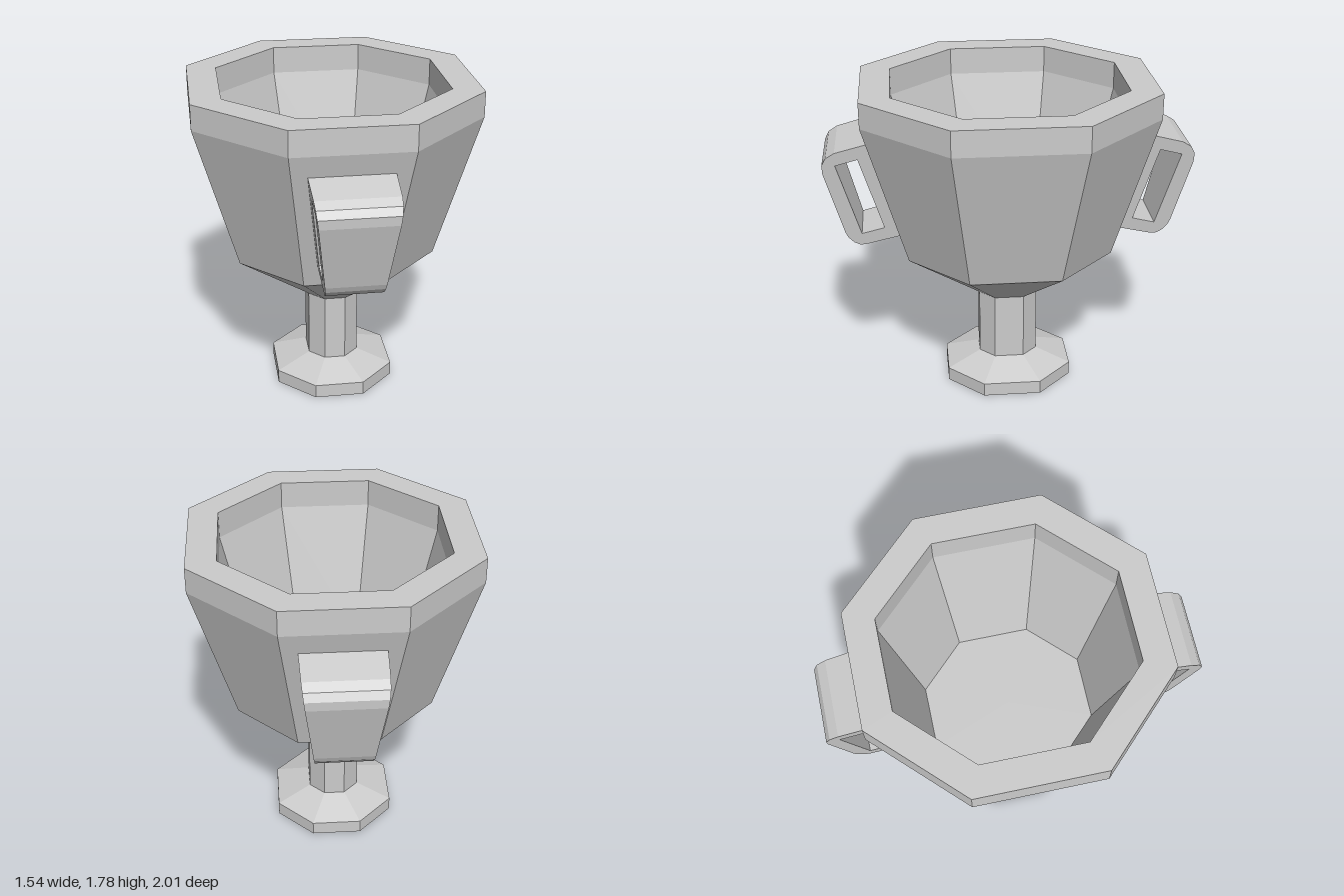
import * as THREE from 'three';

const material = new THREE.MeshStandardMaterial({ color: 0xcccccc, flatShading: true });

// Eight-sided turned body, slightly stretched along z by a constant amount
function octagonalBody(name, profile) {
  const points = profile.map(([r, y]) => new THREE.Vector2(r, y));
  const geometry = new THREE.LatheGeometry(points, 8, Math.PI / 8).toNonIndexed();
  const pos = geometry.attributes.position;
  for (let i = 0; i < pos.count; i++) {
    const z = pos.getZ(i);
    if (Math.abs(z) > 0.01) pos.setZ(i, z + Math.sign(z) * 0.024);
  }
  geometry.computeVertexNormals();
  const mesh = new THREE.Mesh(geometry, material);
  mesh.name = name;
  return mesh;
}

// Closed handle frame: side profile in (z, y), extruded across x, narrower at the bottom
function handle(name) {
  const toVectors = (list) => list.map(([z, y]) => new THREE.Vector2(z, y));
  const shape = new THREE.Shape(toVectors([
    [0.735, 1.52], [0.58, 0.958], [0.78, 0.91], [0.82, 0.905], [0.855, 0.922], [0.885, 0.955],
    [0.9, 0.987], [0.998, 1.35], [1.0, 1.4], [0.978, 1.442], [0.93, 1.472], [0.75, 1.52],
  ]));
  shape.holes.push(new THREE.Path(toVectors([
    [0.93, 1.398], [0.81, 1.43], [0.686, 1.008], [0.81, 0.976],
  ])));
  const geometry = new THREE.ExtrudeGeometry(shape, { depth: 2, bevelEnabled: false });
  geometry.translate(0, 0, -1);
  geometry.rotateY(-Math.PI / 2);
  const pos = geometry.attributes.position;
  for (let i = 0; i < pos.count; i++) {
    const halfWidth = 0.147 + ((pos.getY(i) - 0.905) / 0.615) * 0.073;
    pos.setX(i, pos.getX(i) * halfWidth);
  }
  geometry.computeVertexNormals();
  const mesh = new THREE.Mesh(geometry, material);
  mesh.name = name;
  return mesh;
}

export function createModel() {
  const group = new THREE.Group();
  group.name = 'trophyCup';

  // Foot and stem
  group.add(octagonalBody('foot', [[0, 0], [0.357, 0], [0.357, 0.077], [0.1515, 0.145]]));
  group.add(octagonalBody('stem', [[0.1515, 0.145], [0.1515, 0.53]]));

  // Hollow bowl: outside, rim, inside wall and floor
  group.add(octagonalBody('bowl', [
    [0.1515, 0.53], [0.58, 0.83], [0.826, 1.64], [0.826, 1.78],
    [0.652, 1.78], [0.652, 1.63], [0.456, 0.87], [0, 0.87],
  ]));

  // Front and back handles
  group.add(handle('frontHandle'));
  const back = handle('backHandle');
  back.rotation.y = Math.PI;
  group.add(back);

  // The whole cup is turned very slightly
  group.rotation.y = 0.0157;
  return group;
}
